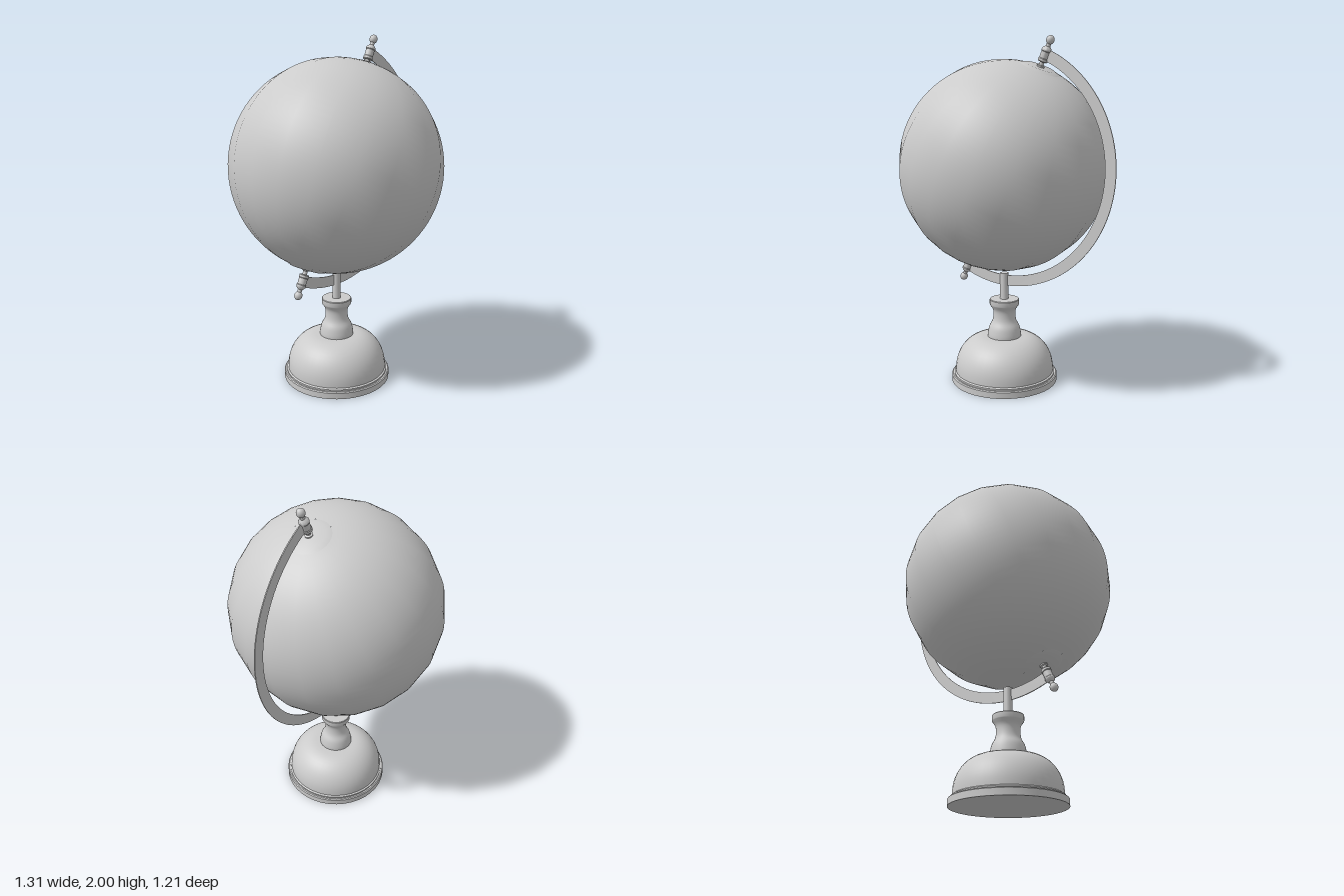
import * as THREE from 'three';
import { toCreasedNormals } from 'three/addons/utils/BufferGeometryUtils.js';

const TILT = THREE.MathUtils.degToRad(23.5);
const CX = -0.055;  // upright axis of stand and globe
const CY = 1.285;   // globe centre height
const R = 0.605;    // globe radius

const material = new THREE.MeshStandardMaterial({ color: 0xcccccc });

function addMesh(parent, name, geometry) {
  const mesh = new THREE.Mesh(geometry, material);
  mesh.name = name;
  parent.add(mesh);
  return mesh;
}

// Turned part from [radius, height] pairs listed bottom to top
function turned(parent, name, profile, segments = 32) {
  const points = profile.map(([r, y]) => new THREE.Vector2(r, y));
  return addMesh(parent, name, toCreasedNormals(new THREE.LatheGeometry(points, segments), 0.6));
}

export function createModel() {
  const model = new THREE.Group();
  model.name = 'deskGlobe';

  // Stand
  const stand = new THREE.Group();
  stand.name = 'stand';
  stand.position.x = CX;
  model.add(stand);

  turned(stand, 'basePlate', [
    [0, 0], [0.317, 0], [0.317, 0.036], [0.311, 0.041], [0.302, 0.041],
    [0.302, 0.05], [0.293, 0.056], [0, 0.056],
  ], 40);

  const dome = [[0.293, 0.05]];
  for (let i = 0; i <= 12; i++) {
    const a = (i / 12) * Math.PI / 2;
    dome.push([0.125 + 0.168 * Math.cos(a), 0.07 + 0.195 * Math.sin(a)]);
  }
  dome.push([0, 0.265]);
  turned(stand, 'baseDome', dome, 40);

  const neckCurve = new THREE.SplineCurve([
    [0.1, 0.262], [0.099, 0.285], [0.09, 0.325], [0.072, 0.36],
    [0.066, 0.395], [0.069, 0.43], [0.086, 0.458],
  ].map(([x, y]) => new THREE.Vector2(x, y)));
  const neck = neckCurve.getPoints(20).map((p) => [p.x, p.y]);
  neck.push([0.088, 0.463], [0.088, 0.49], [0.085, 0.494], [0, 0.494]);
  turned(stand, 'neck', neck);

  turned(stand, 'post', [[0, 0.48], [0.025, 0.48], [0.025, 0.652], [0, 0.652]], 20);

  // Everything on the tilted polar axis
  const tilted = new THREE.Group();
  tilted.name = 'tiltedAssembly';
  tilted.position.set(CX, CY, 0);
  tilted.rotation.z = -TILT;
  model.add(tilted);

  // Ball with coarse meridians, ending at the polar caps
  const capAngle = Math.asin(0.115 / R);
  const ball = [];
  for (let i = 0; i <= 40; i++) {
    const a = capAngle + (i / 40) * (Math.PI - 2 * capAngle);
    ball.push([R * Math.sin(a), -R * Math.cos(a)]);
  }
  turned(tilted, 'globeBall', ball, 20);

  // Flat half-ring arm on the +x side
  const inner = 0.645, outer = 0.708, half = Math.PI / 2;
  const arc = new THREE.Shape();
  arc.absarc(0, 0, outer, -half, half, false);
  arc.absarc(0, 0, inner, half, -half, true);
  arc.closePath();
  const armGeometry = new THREE.ExtrudeGeometry(arc, { depth: 0.006, bevelEnabled: false, curveSegments: 48 });
  armGeometry.translate(0, 0, -0.003);
  addMesh(tilted, 'meridianArm', toCreasedNormals(armGeometry, 0.6));

  // Polar cap, pivot pin and finial, repeated at both poles
  for (const [name, turn] of [['north', 0], ['south', Math.PI]]) {
    const pole = new THREE.Group();
    pole.name = name + 'Pole';
    pole.rotation.x = turn;
    tilted.add(pole);

    turned(pole, 'polarCap', [[0.115, 0.594], [0.086, 0.605], [0, 0.605]], 32);
    turned(pole, 'pivotPin', [
      [0.022, 0.6], [0.022, 0.612], [0.013, 0.615], [0.013, 0.64],
    ], 16);
    turned(pole, 'clamp', [
      [0, 0.635], [0.025, 0.635], [0.028, 0.639], [0.028, 0.652], [0.025, 0.656],
      [0.025, 0.692], [0.028, 0.696], [0.028, 0.704], [0.022, 0.714],
      [0.013, 0.722], [0.012, 0.745],
    ], 20);
    const knob = addMesh(pole, 'finialKnob', new THREE.SphereGeometry(0.023, 18, 12));
    knob.position.y = 0.758;
    knob.scale.y = 1.1;
  }

  return model;
}
